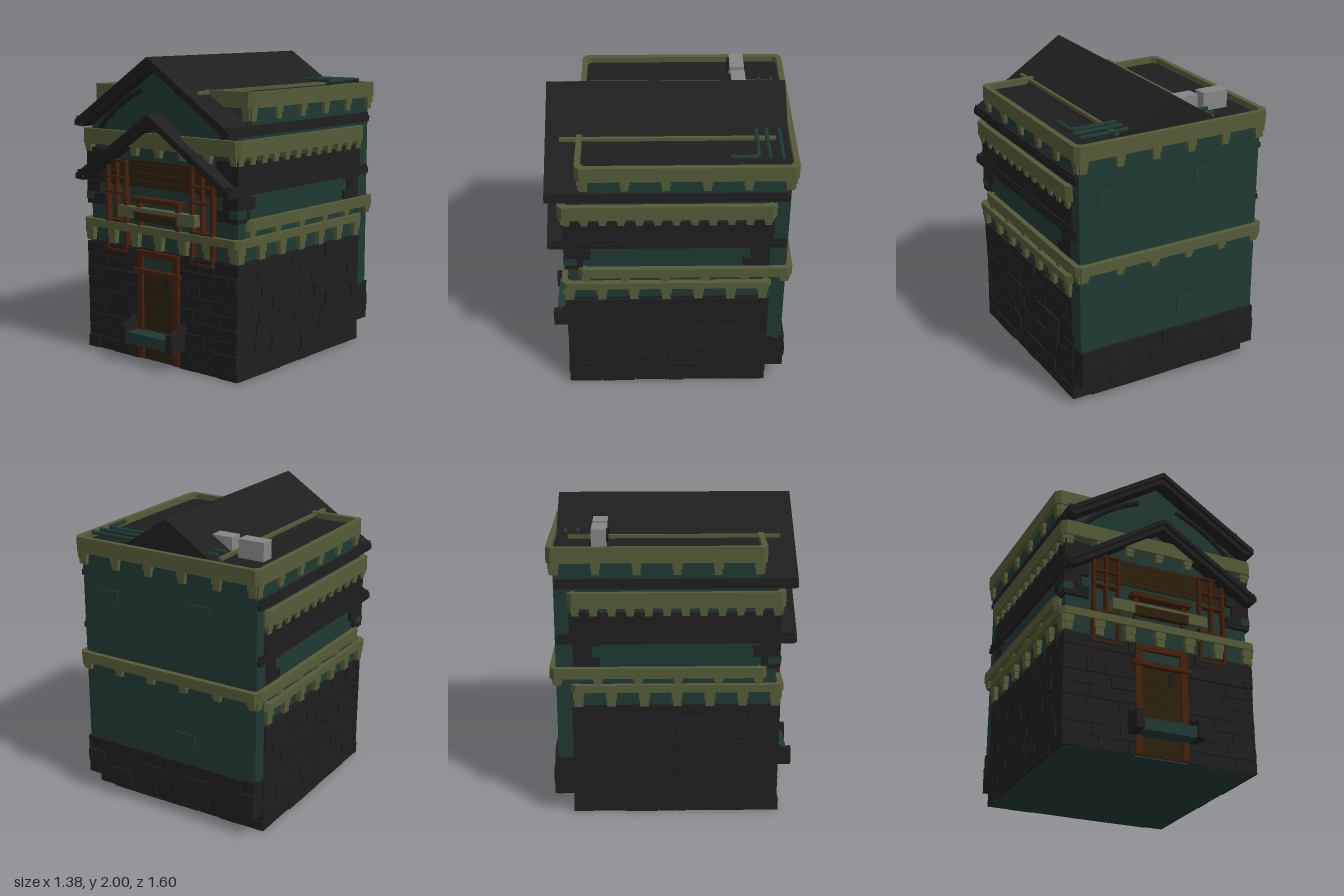
import * as THREE from 'three';
import { mergeGeometries } from 'three/addons/utils/BufferGeometryUtils.js';

const mat = (name, color) => Object.assign(new THREE.MeshStandardMaterial({ color }), { name });

export function createModel() {
  const stone = mat('dark stone', 0x1e1e1e), teal = mat('teal plaster', 0x1f3933);
  const olive = mat('olive trim', 0x545b37), wood = mat('red wood', 0x45200c);
  const panel = mat('brown panel', 0x2c210c), metal = mat('grey metal', 0x858585);
  const model = new THREE.Group();
  let seed = 7;
  const rand = () => (seed = (seed * 16807) % 2147483647) / 2147483647;

  const add = (name, geometry, material) => {
    const mesh = new THREE.Mesh(geometry, material);
    mesh.name = name;
    model.add(mesh);
    return mesh;
  };
  // Box given by its limits on each axis
  const boxGeo = (x0, x1, y0, y1, z0, z1) =>
    new THREE.BoxGeometry(x1 - x0, y1 - y0, z1 - z0).translate((x0 + x1) / 2, (y0 + y1) / 2, (z0 + z1) / 2);
  const box = (name, m, ...b) => add(name, boxGeo(...b), m);
  const merged = (name, m, list) => add(name, mergeGeometries(list), m);
  const points = pts => pts.map(p => new THREE.Vector2(...p));
  const poly = pts => new THREE.Shape(points(pts));
  const extrude = (shape, z0, z1) =>
    new THREE.ExtrudeGeometry(shape, { depth: z1 - z0, bevelEnabled: false }).translate(0, 0, z0);
  // Limits of a side strip between two distances from the middle
  const side = (s, a, b) => (s > 0 ? [a, b] : [-b, -a]);

  // Main walls
  box('stoneBase', stone, -0.645, 0.645, 0.01, 0.75, -0.66, 0.65);
  box('floorSlab', teal, -0.645, 0.645, 0, 0.01, -0.66, 0.65);
  box('middleWall', teal, -0.64, 0.64, 0.74, 1.25, -0.7, 0.635);
  box('upperWall', teal, -0.63, 0.63, 1.25, 1.56, -0.7, 0.635);
  box('roofWall', teal, -0.65, 0.65, 1.55, 1.72, -0.76, 0.52);
  box('backWall', teal, -0.65, 0.65, 0.38, 1.72, -0.76, -0.65);
  box('backPlinth', stone, -0.65, 0.65, 0.13, 0.39, -0.775, -0.65);
  box('flatRoof', stone, -0.66, 0.66, 1.7, 1.76, -0.77, 0.535);

  // Staggered brick courses, built on the xy plane and turned to each side
  function bricks(name, half, y0, y1, face, turn, door = 0) {
    const list = [], rows = Math.round((y1 - y0) / 0.083), h = (y1 - y0) / rows;
    for (let r = 0; r < rows; r++) {
      for (let x = -half; x < half - 0.01;) {
        let end = Math.min(half, x + 0.1 + rand() * 0.13);
        if (half - end < 0.06) end = half;
        const out = face + 0.004 + rand() * 0.014;
        const spans = end <= -door || x >= door ? [[x, end]] : [[x, Math.min(end, -door)], [Math.max(x, door), end]];
        for (const [a, b] of spans) {
          if (b - a > 0.015) list.push(boxGeo(a + 0.002, b - 0.002, y0 + r * h + 0.002, y0 + (r + 1) * h - 0.002, face - 0.03, out).rotateY(turn));
        }
        x = end;
      }
    }
    merged(name, stone, list);
  }
  bricks('frontBricks', 0.66, 0, 0.74, 0.655, 0, 0.18);
  bricks('leftBricks', 0.665, 0, 0.74, 0.647, Math.PI / 2);
  bricks('rightBricks', 0.665, 0, 0.74, 0.647, -Math.PI / 2);
  bricks('backBricks', 0.655, 0.13, 0.4, 0.775, Math.PI);
  bricks('backLowBricks', 0.655, 0, 0.13, 0.66, Math.PI);
  [[-0.13, 0.565], [-0.235, 1.45], [0.45, 1.43]].forEach(([x, y]) =>
    box('looseBackBrick', teal, x - 0.075, x + 0.075, y - 0.04, y + 0.04, -0.77, -0.75));

  // Corner stones of the middle storey and the band under the eaves
  for (const s of [-1, 1]) {
    const list = [];
    for (let i = 0; i < 5; i++) {
      const w = i % 2 ? 0.12 : 0.17, y = 1 + i * 0.077;
      list.push(boxGeo(...side(s, 0.66 - w, 0.66), y, y + 0.074, 0.66 - (0.29 - w), 0.66));
      list.push(boxGeo(...side(s, 0.6, 0.655), y, y + 0.074, -0.65, -0.65 + w));
    }
    merged('cornerStones', stone, list);
    box('eaveWall', stone, ...side(s, 0.5, 0.655), 1.175, 1.37, -0.67, 0.65);
    box('cornerPatch', teal, ...side(s, 0.6, 0.663), 1.03, 1.08, 0.58, 0.665);
  }

  // Rectangle seen from above with chamfered corners; plan y is minus z
  const plan = (x, z0, z1, c) => points([[-x + c, -z1], [x - c, -z1], [x, -z1 + c], [x, -z0 - c],
    [x - c, -z0], [-x + c, -z0], [-x, -z0 - c], [-x, -z1 + c]]);

  // Cornice: chamfered ring with rows of brackets below
  function cornice(name, z0, z1, y0, y1, step, drop, width, ends) {
    const shape = new THREE.Shape(plan(0.688, z0, z1, 0.03));
    shape.holes.push(new THREE.Path(plan(0.653, z0 + 0.035, z1 - 0.035, 0.025)));
    add(name, extrude(shape, y0, y1).rotateX(-Math.PI / 2), olive);
    const list = [];
    const bracket = (x, z, dx, dz) => {
      list.push(boxGeo(x - dx, x + dx, y0 - drop / 2, y0, z - dz, z + dz));
      list.push(boxGeo(x - dx * 0.8, x + dx * 0.8, y0 - drop, y0 - drop / 2, z - dz * 0.8, z + dz * 0.8));
    };
    const n = Math.round((z1 - z0 - 0.1) / step);
    for (let i = 0; i <= n; i++) {
      const z = z0 + 0.05 + (z1 - z0 - 0.1) * i / n;
      for (const s of [-1, 1]) bracket(s * 0.65, z, 0.025, width / 2);
    }
    for (const [z, gap] of ends) {
      const k = Math.round(1.26 / gap);
      for (let i = 0; i <= k; i++) bracket(-0.63 + 1.26 * i / k, z, width / 2, 0.025);
    }
    merged(name + 'Brackets', olive, list);
  }
  cornice('lowerCornice', -0.67, 0.685, 0.85, 0.9, 0.2, 0.1, 0.07, [[0.65, 0.21]]);
  cornice('balconyCornice', -0.8, 0.575, 0.945, 1.015, 0.25, 0.05, 0.06, [[-0.765, 0.26]]);
  cornice('middleCornice', -0.68, 0.685, 1.41, 1.51, 0.12, 0.055, 0.055, [[0.65, 0.21]]);
  cornice('roofParapet', -0.8, 0.565, 1.7, 1.8, 0.24, 0.08, 0.06, [[-0.765, 0.26], [0.53, 0.21]]);
  for (const s of [-1, 1]) box('innerParapet', olive, s * 0.34 - 0.011, s * 0.34 + 0.011, 1.72, 1.795, -0.68, 0.67);

  // Gable roofs: two stepped layers over a plaster gable
  function gable(name, top) {
    const at = (x, d) => top - d - 0.645 * x;
    const chevron = (w, d, t) => poly([[0, top - d], [w, at(w, d)], [w, at(w, d + t)], [0, top - d - t], [-w, at(w, d + t)], [-w, at(w, d)]]);
    add(name + 'Roof', extrude(chevron(0.668, 0, 0.035), -0.756, 0.76), stone);
    add(name + 'RoofUnderlayer', extrude(chevron(0.63, 0.03, 0.04), -0.755, 0.735), stone);
    add(name + 'Wall', extrude(poly([[0, at(0, 0.06)], [0.6, at(0.6, 0.06)], [-0.6, at(0.6, 0.06)]]), -0.72, 0.638), teal);
    for (const s of [-1, 1]) {
      box(name + 'EaveBlock', stone, ...side(s, 0.62, 0.665), at(0.645, 0.055), at(0.645, -0.01), -0.745, 0.745);
    }
  }
  gable('lowerGable', 1.64);
  gable('upperGable', 2.0);
  add('rearGable', extrude(poly([[0, 1.95], [0.3, 1.75], [-0.3, 1.75]]), -0.758, -0.7), stone);

  // Curved braces of the upper gable
  for (const s of [-1, 1]) {
    const brace = new THREE.CatmullRomCurve3([[0.55, 1.5], [0.49, 1.57], [0.38, 1.66], [0.27, 1.73], [0.14, 1.79]]
      .map(([x, y]) => new THREE.Vector3(s * x, y, 0.64)));
    add('gableBrace', new THREE.TubeGeometry(brace, 16, 0.02, 6), stone);
  }

  // Timber windows and panelled front
  box('upperPanel', panel, -0.47, 0.47, 1.15, 1.325, 0.6, 0.645);
  for (const y of [1.19, 1.24, 1.3]) box('panelRail', wood, -0.46, 0.46, y, y + 0.006, 0.64, 0.652);
  for (const s of [-1, 1]) {
    const list = [];
    for (const x of [0.29, 0.375, 0.46]) list.push(boxGeo(s * x - 0.009, s * x + 0.009, x === 0.375 ? 0.9 : 0.71, 1.32, 0.63, 0.675));
    for (const y of [0.71, 0.91, 1.1, 1.2, 1.31]) list.push(boxGeo(s * 0.375 - 0.094, s * 0.375 + 0.094, y - 0.007, y + 0.007, 0.63, 0.68));
    merged('windowFrame', wood, list);
    box('windowPost', wood, s * 0.17 - 0.013, s * 0.17 + 0.013, 0.9, 1.08, 0.63, 0.675);
  }
  box('centreLintel', wood, -0.21, 0.21, 1.06, 1.09, 0.62, 0.7);
  box('balconyLedge', olive, -0.34, 0.33, 0.945, 1.02, 0.62, 0.69);
  box('balconyPanel', panel, -0.185, 0.185, 0.935, 0.985, 0.66, 0.7);
  box('balconyRail', wood, -0.19, 0.19, 0.985, 0.995, 0.66, 0.703);

  // Doorway
  for (const s of [-1, 1]) {
    box('doorJamb', wood, s * 0.158 - 0.022, s * 0.158 + 0.022, 0.01, 0.72, 0.63, 0.68);
    // Sloped cheek beside the step
    const cheek = extrude(poly([[0.63, 0.13], [0.8, 0.13], [0.8, 0.25], [0.74, 0.25], [0.67, 0.295], [0.63, 0.295]]), -0.025, 0.025);
    add('stepCheek', cheek.rotateY(-Math.PI / 2).translate(s * 0.208, 0, 0), stone);
  }
  box('door', panel, -0.14, 0.14, 0.01, 0.6, 0.63, 0.662);
  for (const y of [0.25, 0.36, 0.47]) box('doorPanel', panel, -0.09, 0.04, y, y + 0.08, 0.66, 0.667);
  box('doorPlate', stone, 0.05, 0.09, 0.49, 0.58, 0.66, 0.669);
  box('doorLedge', wood, -0.205, 0.205, 0.59, 0.62, 0.63, 0.7);
  box('transom', teal, -0.14, 0.14, 0.62, 0.7, 0.63, 0.66);
  box('doorHead', wood, -0.18, 0.18, 0.7, 0.74, 0.63, 0.685);
  box('doorStep', teal, -0.185, 0.185, 0.13, 0.205, 0.63, 0.78);

  // Rooftop fan units
  for (const x of [-0.465, -0.24]) {
    box('fanUnit', metal, x - 0.09, x + 0.09, 1.75, 1.88, -0.525, -0.43);
    const fan = new THREE.CylinderGeometry(0.048, 0.048, 0.012, 10).rotateX(Math.PI / 2).translate(x - 0.037, 1.83, -0.425);
    add('fan', fan, stone);
  }

  // Rooftop pipes
  const pipe = pts => {
    const path = new THREE.CurvePath();
    pts.map(p => new THREE.Vector3(...p)).forEach((p, i, a) => i && path.add(new THREE.LineCurve3(a[i - 1], p)));
    add('pipe', new THREE.TubeGeometry(path, 24, 0.014, 8), teal);
    for (const p of [pts[0], pts[pts.length - 1]]) add('pipeCap', new THREE.SphereGeometry(0.015, 8, 6).translate(...p), teal);
  };
  for (const z of [-0.7, -0.62]) {
    pipe([[0.29, 1.815, z], [0.6, 1.815, z]]);
    pipe([[-0.33, 1.815, z], [-0.27, 1.815, z]]);
  }
  pipe([[0.29, 1.815, -0.555], [0.56, 1.815, -0.555], [0.585, 1.815, -0.545], [0.592, 1.815, -0.52], [0.592, 1.815, -0.39]]);
  return model;
}
